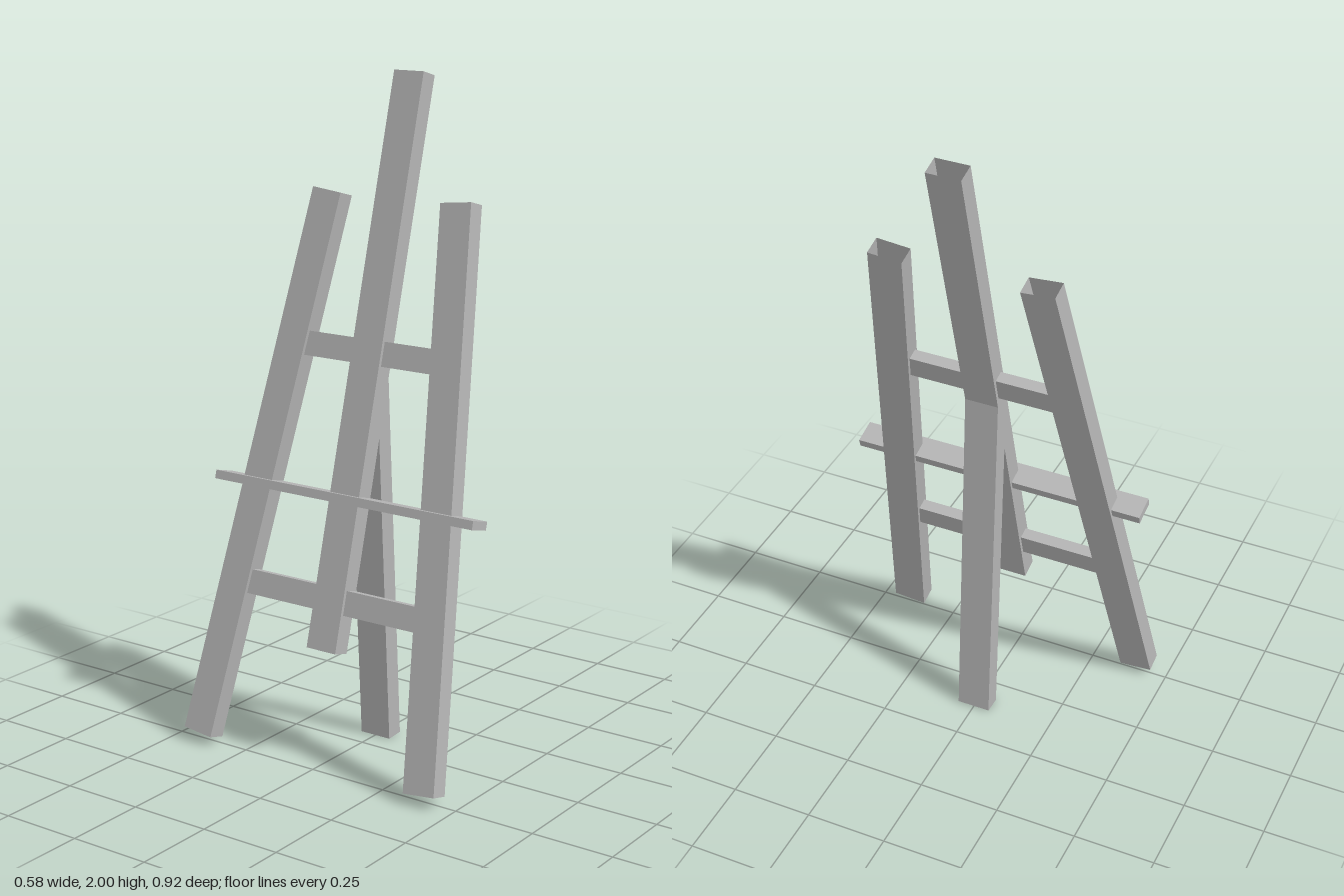
import * as THREE from 'three';

const LEAN = THREE.MathUtils.degToRad(15);
const SPLAY = THREE.MathUtils.degToRad(6);

export function createModel() {
  const easel = new THREE.Group();
  easel.name = 'easel';
  const grey = new THREE.MeshStandardMaterial({ color: 0xb4b4b4, side: THREE.DoubleSide });
  grey.name = 'grey';

  // Hollow square tube along y, open at both ends
  const tube = (w, h, d) => {
    const g = new THREE.BoxGeometry(w, h, d);
    const i = Array.from(g.index.array);
    g.setIndex([...i.slice(0, 12), ...i.slice(24, 36)]);
    g.clearGroups();
    return g;
  };
  const add = (parent, name, geometry, x, y, z) => {
    const mesh = new THREE.Mesh(geometry, grey);
    mesh.name = name;
    mesh.position.set(x, y, z);
    parent.add(mesh);
    return mesh;
  };

  // Leaning frame: local y runs up the slope
  const frame = new THREE.Group();
  frame.name = 'leaningFrame';
  frame.position.set(-0.005, 1, 0);
  frame.rotation.z = -LEAN;
  easel.add(frame);

  // Central mast
  add(frame, 'mast', tube(0.059, 1.7, 0.103), 0, 0.177, 0);

  // Splayed side legs
  for (const side of [1, -1]) {
    const leg = add(frame, side > 0 ? 'leftLeg' : 'rightLeg',
      tube(0.059, 1.676, 0.103), 0, -0.171, side * 0.314);
    leg.rotation.x = -side * SPLAY;
  }

  // Crossbars between the side legs
  for (const [name, y] of [['upperCrossbar', 0.207], ['lowerCrossbar', -0.523]]) {
    const legZ = 0.314 - (y + 0.171) * Math.tan(SPLAY);
    add(frame, name, new THREE.BoxGeometry(0.037, 0.073, 2 * (legZ - 0.04)), 0, y, 0);
  }

  // Canvas ledge
  add(frame, 'ledge', new THREE.BoxGeometry(0.076, 0.026, 0.917), -0.017, -0.225, 0);

  // Rear prop leg
  const rear = add(easel, 'rearLeg', tube(0.057, 1.126, 0.103), 0.065, 0.565, 0);
  rear.rotation.z = THREE.MathUtils.degToRad(3.4);

  return easel;
}
